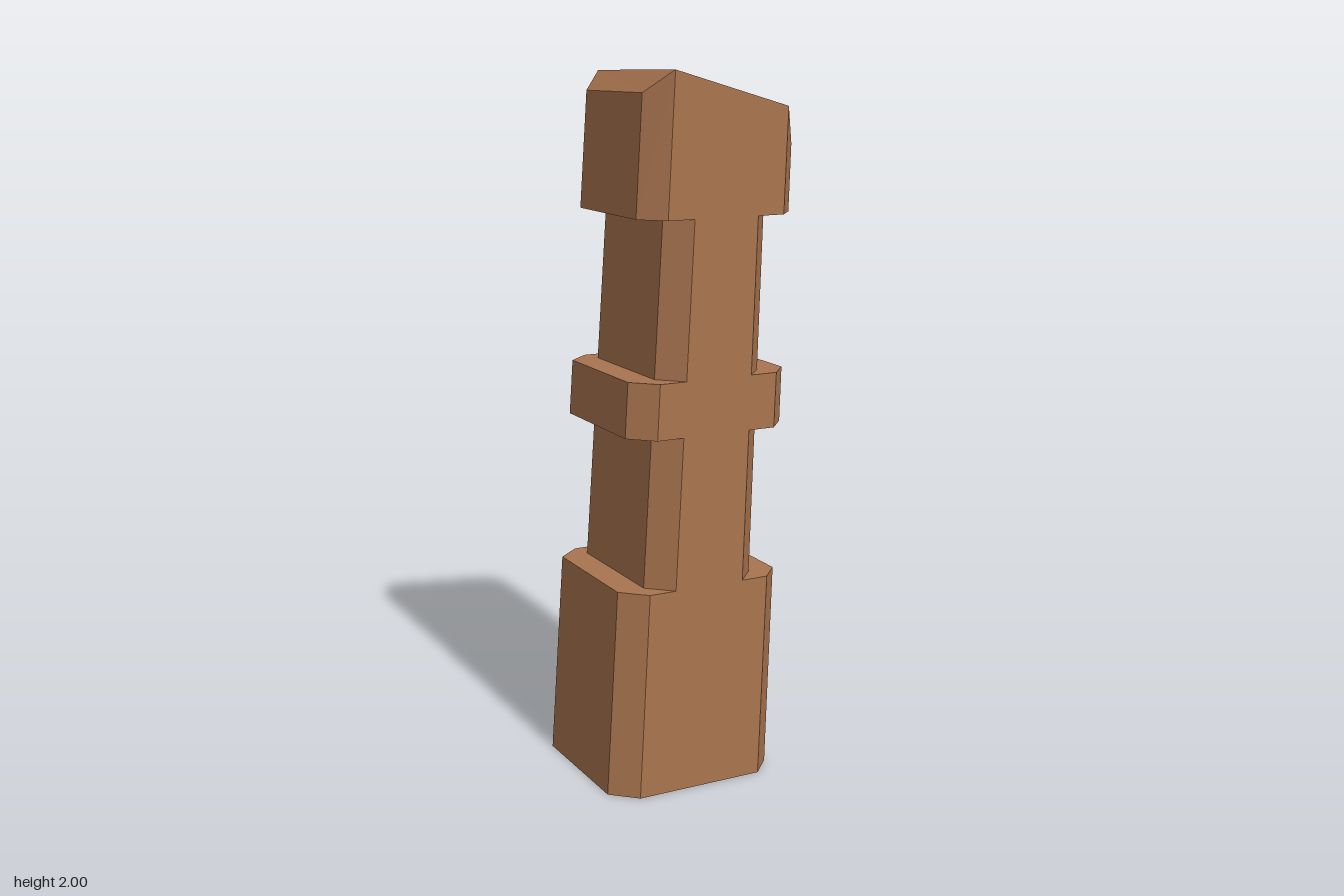
import * as THREE from 'three';

// Eight-sided outline of the leaning post at height y; inset narrows it sideways.
// An array of heights tilts each corner separately.
function ring(heights, inset = 0) {
  return Array.from({ length: 8 }, (_, i) => {
    const y = Array.isArray(heights) ? heights[i] : heights;
    const left = -0.295 + 0.065 * y + inset;
    const right = 0.215 + 0.04 * y - inset;
    const front = 0.25 - 0.01 * y;
    const back = -0.255 + 0.01 * y;
    const cut = 0.07 - 0.005 * y;
    const cutR = 0.06 - 0.004 * y;
    const [x, z] = [
      [left + cut, front], [right - cutR, front],
      [right, front - 0.064], [right, back + 0.057],
      [right - cutR, back], [left + cut, back],
      [left, back + 0.057], [left, front - 0.066],
    ][i];
    return [x, y, z];
  });
}

const CAP = [[0, 1, 4], [0, 4, 5], [1, 2, 3], [1, 3, 4], [5, 6, 7], [5, 7, 0]];

// Closed or open block between two outlines
function block(lower, upper, capped) {
  const pos = [];
  const tri = (...pts) => pts.forEach((p) => pos.push(...p));
  for (let i = 0; i < 8; i++) {
    const j = (i + 1) % 8;
    tri(lower[i], lower[j], upper[j]);
    tri(lower[i], upper[j], upper[i]);
  }
  if (capped) {
    for (const [a, b, c] of CAP) {
      tri(upper[a], upper[b], upper[c]);
      tri(lower[a], lower[c], lower[b]);
    }
  }
  const geometry = new THREE.BufferGeometry();
  geometry.setAttribute('position', new THREE.Float32BufferAttribute(pos, 3));
  geometry.computeVertexNormals();
  return geometry;
}

export function createModel() {
  const group = new THREE.Group();
  group.name = 'leaningPost';
  const wood = new THREE.MeshStandardMaterial({ color: 0xa9744f });
  wood.name = 'brown wood';

  const add = (name, lower, upper, capped) => {
    const mesh = new THREE.Mesh(block(lower, upper, capped), wood);
    mesh.name = name;
    group.add(mesh);
  };

  // Necks are notched in at the sides only
  const notch = 0.08;
  add('base', ring(0), ring(0.59), true);
  add('lowerNeck', ring(0.59, notch), ring(1.02, notch), false);
  add('collar', ring(1.02), ring(1.175), true);
  add('upperNeck', ring(1.175, notch), ring(1.61, notch), false);

  // Head with an unevenly cut, sloping top
  const topHeights = [2.0, 1.9, 1.795, 1.877, 1.89, 1.988, 1.935, 1.94];
  add('head', ring(1.61), ring(topHeights), true);

  return group;
}
